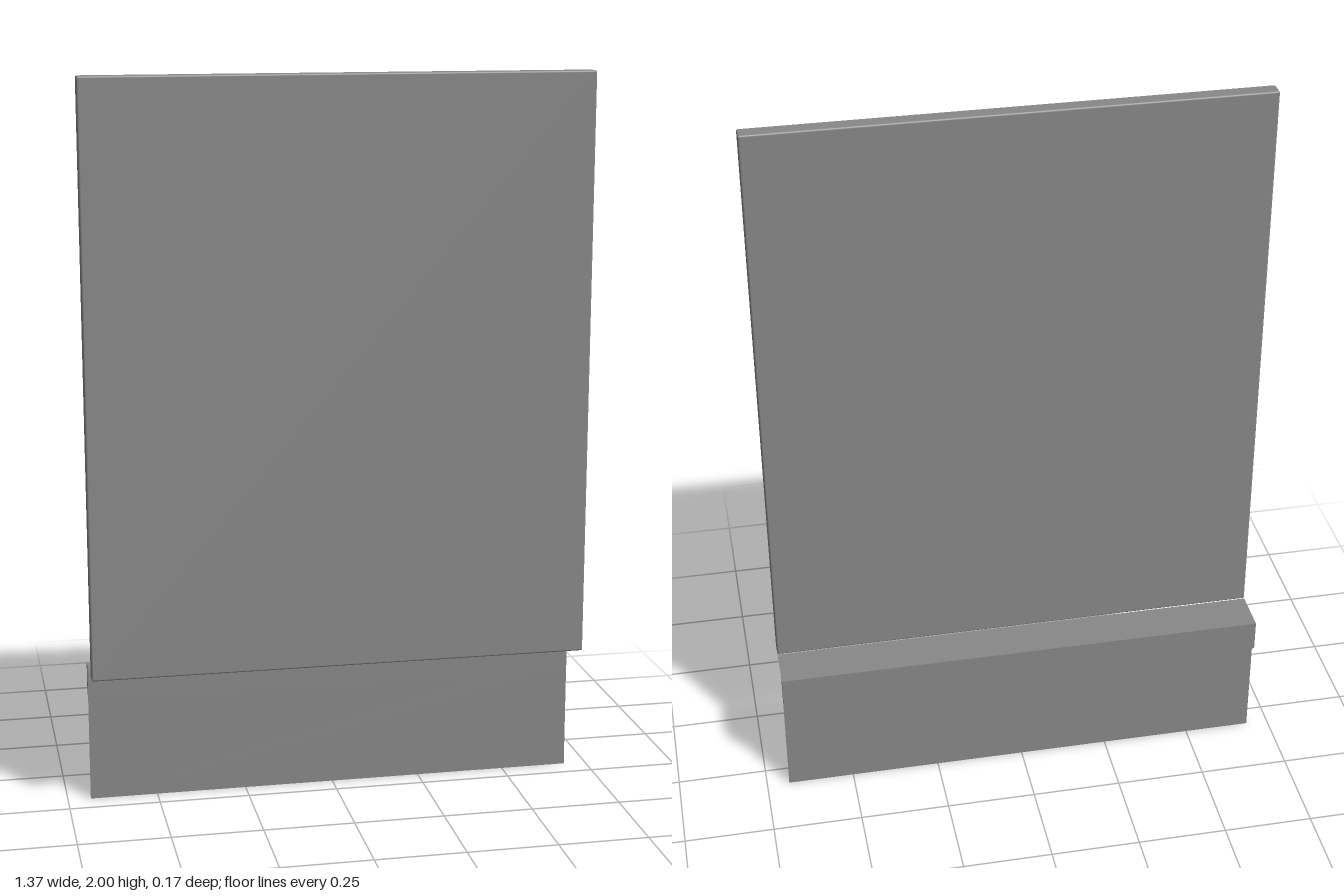
import * as THREE from 'three';
import { RoundedBoxGeometry } from 'three/addons/geometries/RoundedBoxGeometry.js';

const HALF = 0.687;      // half the width
const LEDGE_Y = 0.392;   // height of the ledge and underside of the panel
const FRONT = 0.083, PANEL_BACK = 0.039;
const LIP_FRONT = -0.062, SKIRT_Z = -0.064, BACK = -0.084;

// Uneven line where the lip ends and the skirt begins
const WAVE = [[-HALF, 0.302], [-0.43, 0.29], [-0.12, 0.314], [0.22, 0.304], [0.36, 0.309], [0.48, 0.286], [HALF, 0.302]];

// Outline between the wavy line and a straight edge at the given height
function waveShape(edgeY) {
  const points = WAVE.map(([x, y]) => new THREE.Vector2(x, y));
  points.push(new THREE.Vector2(HALF, edgeY), new THREE.Vector2(-HALF, edgeY));
  return new THREE.Shape(points);
}

export function createModel() {
  const group = new THREE.Group();
  const solid = new THREE.MeshStandardMaterial({ color: 0x888888 });
  const sheet = new THREE.MeshStandardMaterial({ color: 0x888888, side: THREE.DoubleSide });

  function add(name, geometry, material, x, y, z) {
    const mesh = new THREE.Mesh(geometry, material);
    mesh.name = name;
    mesh.position.set(x, y, z);
    group.add(mesh);
  }

  // Tall slab with slightly softened edges
  const height = 2 - LEDGE_Y;
  add('panel', new RoundedBoxGeometry(HALF * 2, height, FRONT - PANEL_BACK, 3, 0.005), solid,
    0, LEDGE_Y + height / 2, (FRONT + PANEL_BACK) / 2);

  // Thin ledge from the panel to the back
  const ledge = new THREE.PlaneGeometry(HALF * 2, PANEL_BACK - BACK).rotateX(-Math.PI / 2);
  add('ledge', ledge, sheet, 0, LEDGE_Y, (PANEL_BACK + BACK) / 2);

  // Hanging lip with an uneven lower edge
  const lip = new THREE.ExtrudeGeometry(waveShape(LEDGE_Y), { depth: LIP_FRONT - BACK, bevelEnabled: false });
  add('lip', lip, solid, 0, 0, BACK);

  // Thin skirt below the lip, just behind its front face
  add('skirt', new THREE.ShapeGeometry(waveShape(0)), sheet, 0, 0, SKIRT_Z);

  return group;
}
